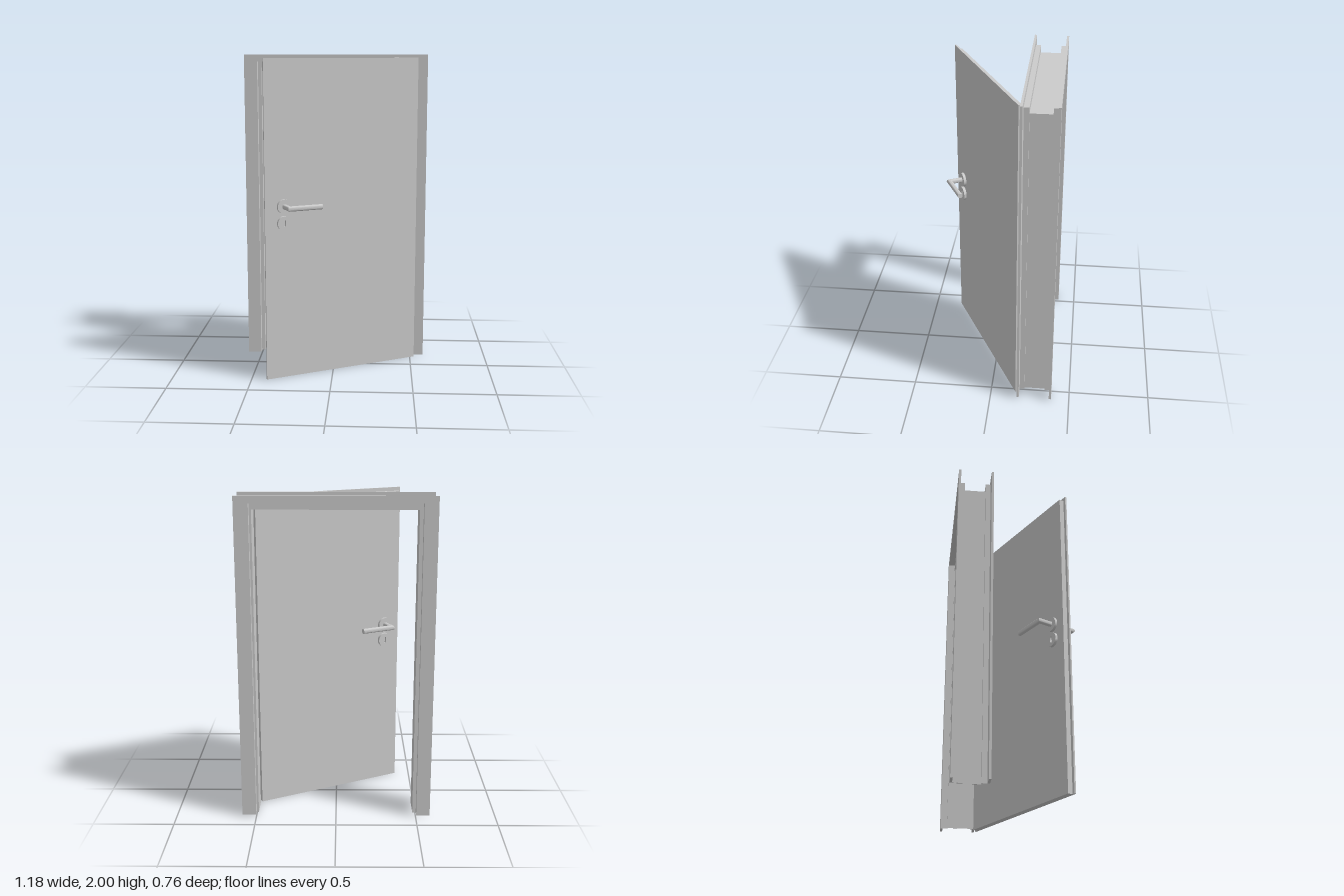
import * as THREE from 'three';
import { toCreasedNormals } from 'three/addons/utils/BufferGeometryUtils.js';

const material = new THREE.MeshStandardMaterial({ color: 0xcccccc });

function add(parent, name, geometry, x = 0, y = 0, z = 0) {
  const mesh = new THREE.Mesh(geometry, material);
  mesh.name = name;
  mesh.position.set(x, y, z);
  parent.add(mesh);
  return mesh;
}

// Box given by its limits on each axis
function addBox(parent, name, x0, x1, y0, y1, z0, z1) {
  return add(parent, name, new THREE.BoxGeometry(x1 - x0, y1 - y0, z1 - z0),
    (x0 + x1) / 2, (y0 + y1) / 2, (z0 + z1) / 2);
}

// Two jambs and a head in one piece; outer and inner are [left x, right x, top y]
function addPortal(parent, name, outer, inner, z0, z1) {
  const base = 0.01;
  const points = [
    [outer[0], base], [inner[0], base], [inner[0], inner[2]], [inner[1], inner[2]],
    [inner[1], base], [outer[1], base], [outer[1], outer[2]], [outer[0], outer[2]],
  ].map(([x, y]) => new THREE.Vector2(x, y));
  const geometry = new THREE.ExtrudeGeometry(new THREE.Shape(points), { depth: z1 - z0, bevelEnabled: false });
  return add(parent, name, geometry, 0, 0, z0);
}

// Round bar with a mitred right-angle elbow: out along z, then along x
function leverGeometry(radius, reach, length) {
  const geometry = new THREE.CylinderGeometry(radius, radius, 2, 24, 2);
  const p = geometry.attributes.position;
  for (let i = 0; i < p.count; i++) {
    const a = p.getX(i), level = p.getY(i), b = p.getZ(i);
    p.setXYZ(i, level > 0.5 ? length : a, -b, level < -0.5 ? 0 : reach - a);
  }
  return toCreasedNormals(geometry, 0.6);
}

// Lever, its rosette and the keyhole rosette for one face of the door
function createHandle(name) {
  const handle = new THREE.Group();
  handle.name = name;
  const depth = 0.017, radius = 0.045;

  const rosette = new THREE.CylinderGeometry(radius, radius, depth, 32).rotateX(Math.PI / 2);
  add(handle, 'leverRosette', rosette, 0, 0, depth / 2);
  add(handle, 'lever', leverGeometry(0.016, 0.101, 0.211));

  const disc = new THREE.Shape().absarc(0, 0, radius, 0, Math.PI * 2);
  const slot = new THREE.Path();
  slot.absarc(0, 0.013, 0.008, 0, Math.PI);
  slot.absarc(0, -0.013, 0.008, Math.PI, Math.PI * 2);
  slot.closePath();
  disc.holes.push(slot);
  const plate = new THREE.ExtrudeGeometry(disc, { depth, bevelEnabled: false, curveSegments: 16 });
  add(handle, 'keyholeRosette', toCreasedNormals(plate, 0.6), 0, -0.104, 0);
  return handle;
}

function createFrame() {
  const frame = new THREE.Group();
  frame.name = 'doorFrame';
  const casing = [-0.588, 0.588, 2];
  const wide = [-0.504, 0.501, 1.957];
  const narrow = [-0.482, 0.488, 1.917];
  const t = 0.003;
  const grow = ([l, r, top]) => [l - t, r + t, top + t];

  // Flat casings on both faces of the wall
  addPortal(frame, 'frontCasing', casing, wide, -0.182, -0.168);
  addPortal(frame, 'backCasing', casing, wide, -0.387, -0.373);
  // Stepped thin lining between them
  addPortal(frame, 'frontRebate', grow(wide), wide, -0.21, -0.182);
  addPortal(frame, 'frontStop', grow(wide), narrow, -0.21 - t, -0.21);
  addPortal(frame, 'lining', grow(narrow), narrow, -0.343, -0.21 - t);
  addPortal(frame, 'backStop', grow(wide), narrow, -0.343 - t, -0.343);
  addPortal(frame, 'backRebate', grow(wide), wide, -0.373, -0.343 - t);
  return frame;
}

// Leaf in its own frame: origin at the free front edge, x towards the hinge
function createLeaf() {
  const leaf = new THREE.Group();
  leaf.name = 'doorLeaf';
  const thickness = 0.042, skin = 0.011;
  addBox(leaf, 'frontPanel', 0, 1.045, 0, 1.98, -skin, 0);
  addBox(leaf, 'leafCore', 0.018, 1.014, 0, 1.957, -thickness, -skin);

  const front = createHandle('frontHandle');
  front.position.set(0.122, 1.09, 0);
  leaf.add(front);

  // The back set is turned over; its keyhole rosette stays below the lever
  const back = createHandle('backHandle');
  back.rotation.x = Math.PI;
  back.position.set(0.122, 1.09, -thickness);
  back.getObjectByName('keyholeRosette').position.y *= -1;
  leaf.add(back);

  leaf.position.set(-0.402, 0, 0.322);
  leaf.rotation.y = THREE.MathUtils.degToRad(27.2);
  return leaf;
}

export function createModel() {
  const model = new THREE.Group();
  model.name = 'openDoor';
  model.add(createFrame(), createLeaf());
  return model;
}
